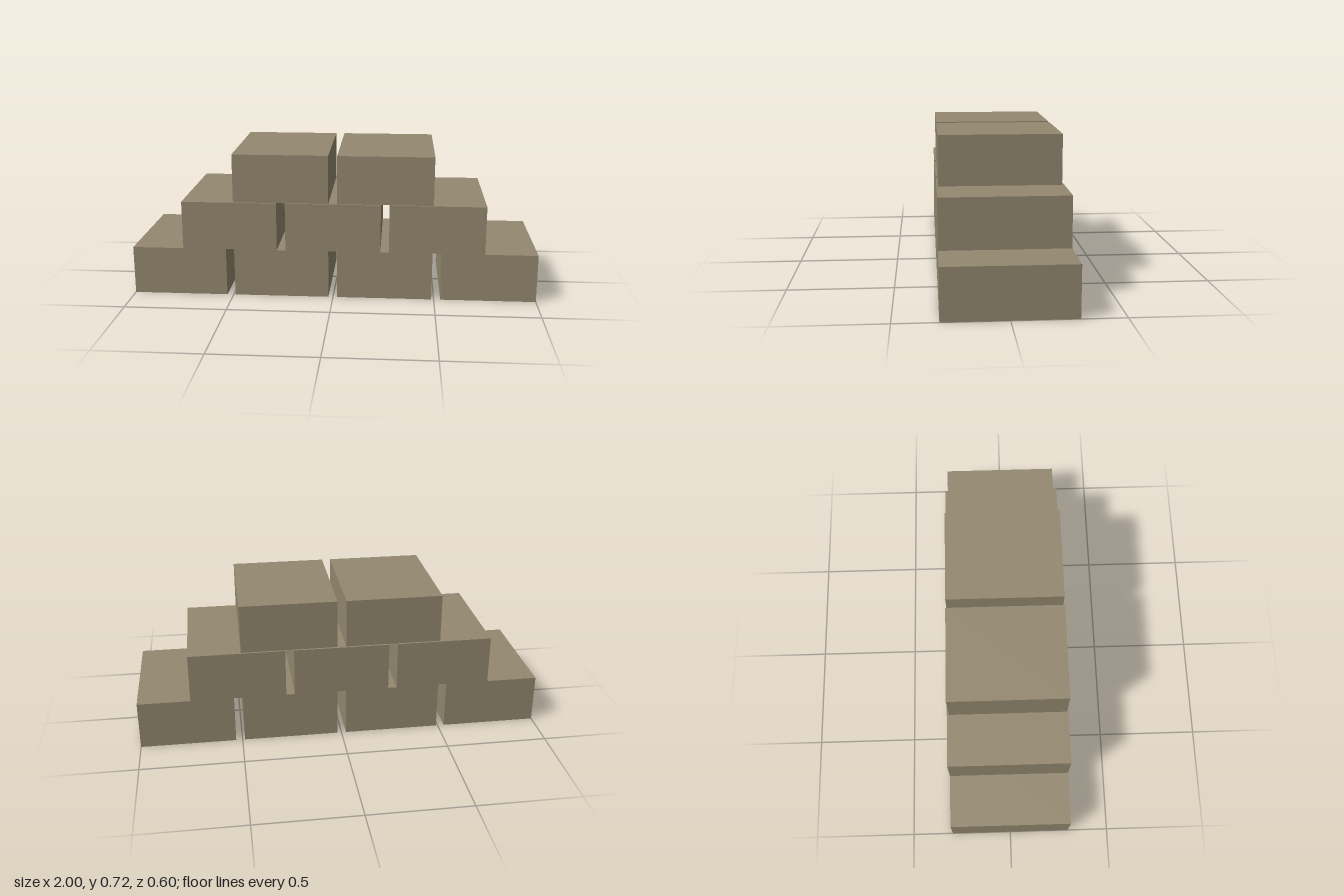
import * as THREE from 'three';

const WIDTH = 0.468;
const HEIGHT = 0.239;

// Rows of blocks from the ground up: block centres along x, and depth
const rows = [
  { name: 'bottomBlock', centres: [-0.766, -0.257, 0.254, 0.766], depth: 0.596, z: 0 },
  { name: 'middleBlock', centres: [-0.512, -0.001, 0.509], depth: 0.596, z: 0 },
  { name: 'topBlock', centres: [-0.257, 0.254], depth: 0.578, z: 0.001 },
];

export function createModel() {
  const model = new THREE.Group();
  model.name = 'blockPyramid';
  const stone = new THREE.MeshStandardMaterial({ color: 0x948970 });
  stone.name = 'stone';

  rows.forEach(({ name, centres, depth, z }, level) => {
    const geometry = new THREE.BoxGeometry(WIDTH, HEIGHT, depth);
    centres.forEach((x, i) => {
      const block = new THREE.Mesh(geometry, stone);
      block.name = `${name}${i + 1}`;
      block.position.set(x, (level + 0.5) * HEIGHT, z);
      model.add(block);
    });
  });
  return model;
}
